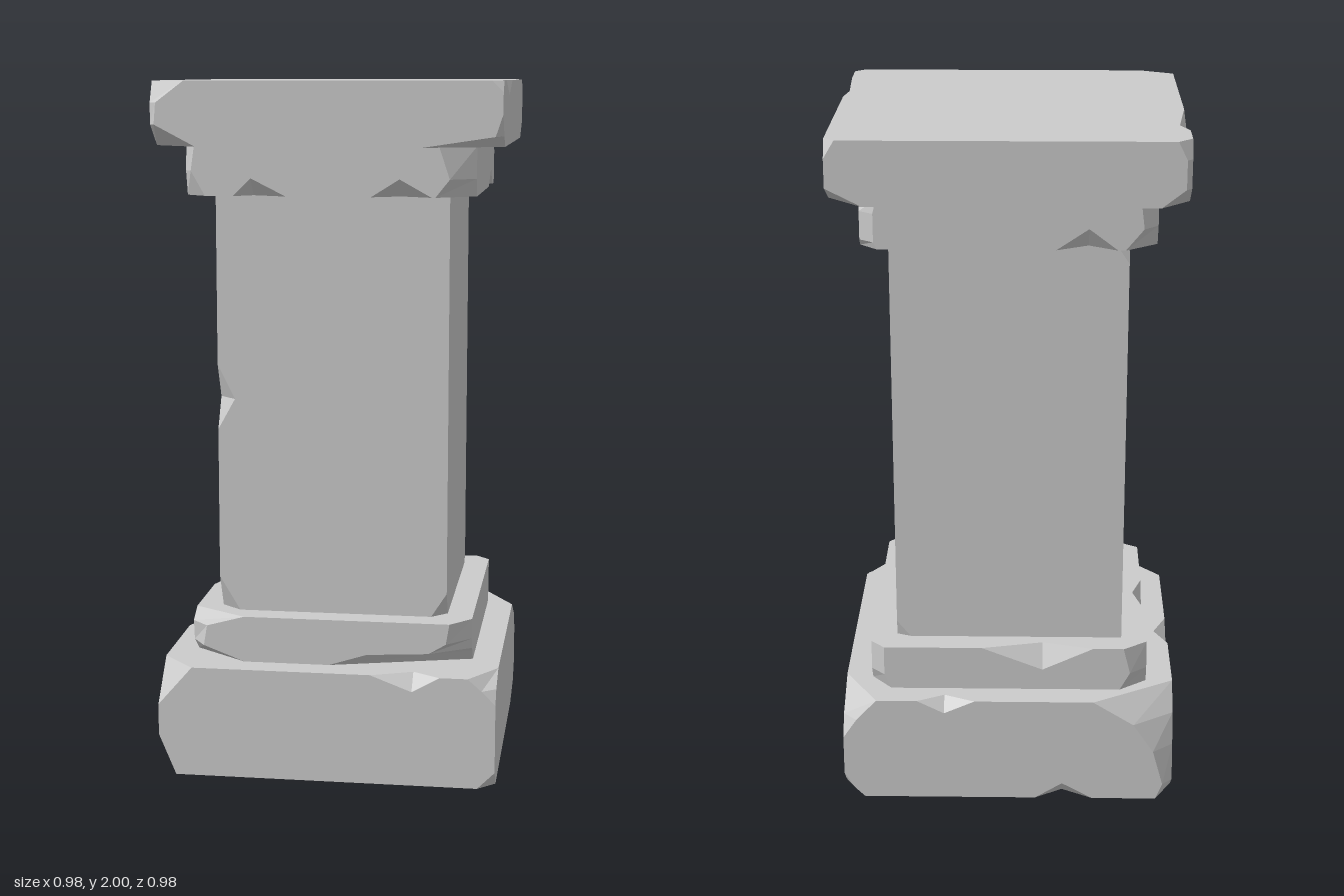
import * as THREE from 'three';

const material = new THREE.MeshStandardMaterial({ color: 0xcccccc, flatShading: true });

// Point on side k (0 front, 1 +x, 2 back, 3 -x): u runs rightwards seen from outside, n outwards.
function sidePoint(k, u, y, n) {
  return new THREE.Vector3(u, y, n).applyAxisAngle(new THREE.Vector3(0, 1, 0), k * Math.PI / 2);
}

// Square stone block of half width h with broken corners and chipped edges.
// corners[k]: the upright edge between side k and side k + 1, bottom to top, as
//   [y, cut along side k, cut along side k + 1].
// chips: [side, 1 top or 0 bottom, start, tip, end, depth inwards, height on the side].
function chippedBlock(name, h, y0, y1, corners, chips) {
  const positions = [];
  const tri = (a, b, c, out) => {
    const normal = b.clone().sub(a).cross(c.clone().sub(a));
    if (normal.length() < 1e-8) return;
    const order = normal.dot(out) > 0 ? [a, b, c] : [a, c, b];
    order.forEach(p => positions.push(p.x, p.y, p.z));
  };
  const fill = (points, flat, out) => {
    const keep = points.map((_, i) => i)
      .filter(i => flat[i].distanceTo(flat[(i + 1) % flat.length]) > 1e-6);
    const outline = keep.map(i => flat[i]);
    for (const [a, b, c] of THREE.ShapeUtils.triangulateShape(outline, [])) {
      tri(points[keep[a]], points[keep[b]], points[keep[c]], out);
    }
  };
  const rims = [[], []];

  for (let k = 0; k < 4; k++) {
    const out = sidePoint(k, 0, 0, 1);
    const right = corners[k].map(([y, a]) => [h - a, y]);
    const left = corners[(k + 3) % 4].map(([y, , b]) => [b - h, y]);
    const edges = [[], []];

    // Chips along the bottom and top edges
    for (const top of [0, 1]) {
      const y = top ? y1 : y0;
      const ends = [left, right].map(l => l[top ? l.length - 1 : 0]);
      rims[top].push(sidePoint(k, ends[0][0], y, h));
      const own = chips.filter(c => c[0] === k && c[1] === top).sort((p, q) => p[2] - q[2]);
      for (const [, , a, t, b, depth, height] of own) {
        const tipY = top ? y - height : y + height;
        edges[top].push([a, y], [t, tipY], [b, y]);
        const A = sidePoint(k, a, y, h), B = sidePoint(k, b, y, h);
        const inner = sidePoint(k, t, y, h - depth), outer = sidePoint(k, t, tipY, h);
        const hint = out.clone().setY(top ? 1 : -1);
        tri(A, inner, outer, hint);
        tri(B, inner, outer, hint);
        rims[top].push(A, inner, B);
      }
      rims[top].push(sidePoint(k, ends[1][0], y, h));
    }

    // Flat side
    const loop = [...edges[0], ...right, ...edges[1].reverse(), ...left.slice().reverse()];
    fill(loop.map(([u, y]) => sidePoint(k, u, y, h)), loop.map(p => new THREE.Vector2(...p)), out);

    // Broken upright corner
    const diagonal = sidePoint(k, 1, 0, 1);
    const strip = corners[k].map(([y, a, b]) =>
      [sidePoint(k, h - a, y, h), sidePoint(k + 1, b - h, y, h)]);
    for (let i = 0; i < strip.length - 1; i++) {
      tri(strip[i][0], strip[i][1], strip[i + 1][1], diagonal);
      tri(strip[i][0], strip[i + 1][1], strip[i + 1][0], diagonal);
    }
  }

  // Bottom and top
  rims.forEach((rim, top) => fill(rim, rim.map(p => new THREE.Vector2(p.x, p.z)),
    new THREE.Vector3(0, top ? 1 : -1, 0)));

  const geometry = new THREE.BufferGeometry();
  geometry.setAttribute('position', new THREE.Float32BufferAttribute(positions, 3));
  geometry.computeVertexNormals();
  const mesh = new THREE.Mesh(geometry, material);
  mesh.name = name;
  return mesh;
}

export function createModel() {
  const group = new THREE.Group();
  group.name = 'stonePedestal';

  group.add(chippedBlock('base', 0.49, 0, 0.325, [
    [[0, 0.05, 0.05], [0.05, 0, 0], [0.25, 0, 0], [0.29, 0.04, 0.03], [0.325, 0.08, 0.12]],
    [[0, 0.19, 0.06], [0.03, 0.05, 0.03], [0.08, 0, 0], [0.2, 0, 0], [0.26, 0.04, 0.04], [0.325, 0.17, 0.1]],
    [[0, 0.05, 0.09], [0.05, 0.03, 0.03], [0.16, 0.06, 0.05], [0.25, 0.12, 0.08], [0.325, 0.24, 0.14]],
    [[0, 0.16, 0.05], [0.12, 0, 0], [0.21, 0, 0], [0.325, 0.11, 0.1]]
  ], [
    [0, 1, 0.13, 0.25, 0.33, 0.05, 0.045],
    [2, 0, 0.08, 0.16, 0.25, 0.05, 0.05],
    [2, 1, -0.27, -0.19, -0.1, 0.04, 0.04],
    [3, 1, -0.11, -0.03, 0.06, 0.04, 0.05]
  ]));

  group.add(chippedBlock('lowerMoulding', 0.41, 0.325, 0.46, [
    [[0.325, 0.41, 0.12], [0.36, 0.3, 0.09], [0.37, 0.12, 0.08], [0.4, 0.07, 0.075], [0.46, 0.06, 0.07]],
    [[0.325, 0.07, 0.06], [0.37, 0.04, 0.04], [0.46, 0.04, 0.04]],
    [[0.325, 0.08, 0.06], [0.38, 0.05, 0.04], [0.46, 0.07, 0.05]],
    [[0.325, 0.12, 0.16], [0.37, 0.06, 0.04], [0.43, 0.05, 0.05], [0.46, 0.1, 0.16]]
  ], [
    [2, 1, -0.08, 0.1, 0.25, 0.04, 0.07],
    [3, 1, -0.14, -0.03, 0.06, 0.03, 0.09]
  ]));

  group.add(chippedBlock('shaft', 0.335, 0.46, 1.68, [
    [[0.46, 0.045, 0.045], [0.53, 0, 0], [1.68, 0, 0]],
    [[0.46, 0.015, 0.04], [0.51, 0, 0], [1.68, 0, 0]],
    [[0.46, 0, 0], [1.62, 0, 0], [1.68, 0.04, 0.04]],
    [[0.46, 0.05, 0.06], [0.56, 0, 0], [1, 0, 0], [1.09, 0.05, 0.05], [1.19, 0, 0], [1.68, 0, 0]]
  ], []));

  group.add(chippedBlock('upperMoulding', 0.41, 1.68, 1.82, [
    [[1.68, 0.11, 0.08], [1.73, 0.07, 0.06], [1.82, 0.1, 0.07]],
    [[1.68, 0.05, 0.05], [1.7, 0.03, 0.04], [1.78, 0.03, 0.04], [1.82, 0.07, 0.05]],
    [[1.68, 0.09, 0.07], [1.74, 0.04, 0.04], [1.82, 0.05, 0.05]],
    [[1.68, 0.05, 0.06], [1.75, 0.03, 0.02], [1.82, 0.04, 0.03]]
  ], [
    [0, 0, -0.27, -0.22, -0.12, 0.05, 0.05],
    [0, 0, 0.12, 0.2, 0.29, 0.05, 0.05],
    [1, 0, 0.15, 0.24, 0.31, 0.05, 0.05],
    [2, 0, 0.13, 0.22, 0.3, 0.05, 0.06]
  ]));

  group.add(chippedBlock('capSlab', 0.49, 1.82, 2, [
    [[1.82, 0.22, 0.1], [1.85, 0.02, 0.06], [1.91, 0, 0], [1.97, 0, 0], [2, 0.03, 0.03]],
    [[1.82, 0.1, 0.1], [1.87, 0, 0], [1.95, 0, 0], [2, 0.03, 0.03]],
    [[1.82, 0.08, 0.08], [1.87, 0.015, 0.015], [1.95, 0.015, 0.015], [2, 0.04, 0.04]],
    [[1.82, 0.1, 0.13], [1.88, 0.02, 0.015], [1.94, 0.02, 0.02], [2, 0.05, 0.1]]
  ], [
    [1, 1, -0.36, -0.21, -0.08, 0.02, 0.04],
    [3, 1, -0.35, -0.29, -0.08, 0.025, 0.06]
  ]));

  return group;
}
